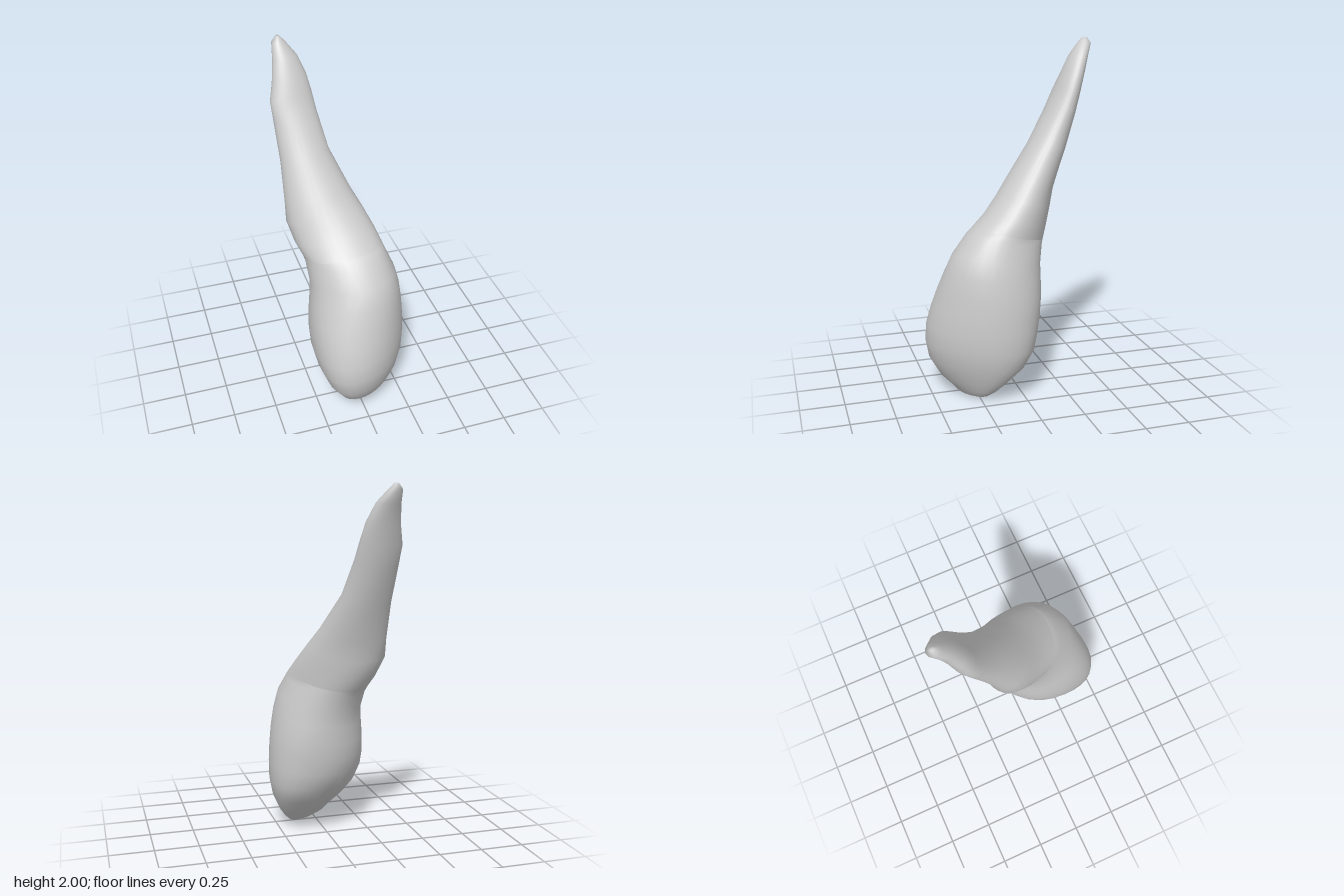
import * as THREE from 'three';

// Horizontal slices: [y, xMin, xMax, zMin, zMax, skew]
const slices = [
  [0, 0.06, 0.1, 0.26, 0.30, -0.5],
  [0.02, -0.02, 0.17, 0.2, 0.355, -0.6],
  [0.05, -0.09, 0.2, 0.16, 0.39, -0.6],
  [0.1, -0.13, 0.235, 0.1, 0.44, -0.52],
  [0.2, -0.2, 0.285, -0.01, 0.5, -0.42],
  [0.3, -0.235, 0.307, -0.07, 0.52, -0.34],
  [0.4, -0.25, 0.309, -0.09, 0.515, -0.28],
  [0.5, -0.252, 0.305, -0.11, 0.49, -0.21],
  [0.6, -0.25, 0.297, -0.125, 0.46, -0.13],
  [0.7, -0.235, 0.28, -0.13, 0.425, -0.02],
  [0.8, -0.225, 0.26, -0.14, 0.39, 0.1],
  [0.9, -0.245, 0.215, -0.18, 0.33, 0.25],
  [1.0, -0.3, 0.18, -0.23, 0.205, 0.32],
  [1.1, -0.31, 0.135, -0.25, 0.11, 0.28],
  [1.2, -0.3, 0.08, -0.265, 0.03, 0.17],
  [1.4, -0.295, -0.01, -0.35, -0.12, 0.06],
  [1.6, -0.305, -0.05, -0.41, -0.24, -0.06],
  [1.7, -0.31, -0.065, -0.435, -0.29, -0.1],
  [1.8, -0.28, -0.085, -0.46, -0.335, -0.1],
  [1.9, -0.265, -0.125, -0.49, -0.385, -0.1],
  [1.97, -0.255, -0.18, -0.52, -0.44, 0],
  [2.0, -0.23, -0.21, -0.5, -0.47, 0],
];
const SEGMENTS = 30;
const NECK = 0.93;

// Slanted line where crown and root meet
const neckHeight = (t) => 0.92 + 0.045 * Math.sin(t) + 0.035 * Math.cos(t);

// Surface point at angle t and height y: a skewed ellipse filling the slice
function surfacePoint(t, y) {
  let i = 0;
  while (i < slices.length - 2 && slices[i + 1][0] < y) i++;
  const k = THREE.MathUtils.clamp((y - slices[i][0]) / (slices[i + 1][0] - slices[i][0]), 0, 1);
  const [, x0, x1, z0, z1, skew] = slices[i].map((v, j) => THREE.MathUtils.lerp(v, slices[i + 1][j], k));
  const c = Math.cos(t);
  const s = skew * c + Math.sqrt(1 - skew * skew) * Math.sin(t);
  // The back swells low on the crown and flattens along the root
  let swelling = 0;
  if (y < 0.75) swelling = 0.22 * Math.sin((Math.PI * y) / 0.75) ** 2;
  else if (y > 0.9 && y < 1.9) swelling = -0.11 * Math.sin(Math.PI * (y - 0.9));
  const r = 1 + swelling * Math.max(0, Math.cos(t - 1.3 * Math.PI)) ** 4;
  return [(x0 + x1) / 2 + ((x1 - x0) / 2) * c * r, y, (z0 + z1) / 2 + ((z1 - z0) / 2) * s * r];
}

// Skin rows of points; heightAt(row, t) bends each row towards the neck line
function skin(name, rows, heightAt, cap) {
  const positions = [];
  const index = [];
  rows.forEach((row) => {
    for (let j = 0; j < SEGMENTS; j++) {
      const t = (j / SEGMENTS) * Math.PI * 2;
      positions.push(...surfacePoint(t, heightAt(row, t)));
    }
  });
  for (let i = 0; i < rows.length - 1; i++) {
    for (let j = 0; j < SEGMENTS; j++) {
      const a = i * SEGMENTS + j;
      const b = i * SEGMENTS + ((j + 1) % SEGMENTS);
      index.push(a, a + SEGMENTS, b, b, a + SEGMENTS, b + SEGMENTS);
    }
  }
  // Close the tip with a fan
  const tip = positions.length / 3;
  const first = cap === 'bottom' ? 0 : (rows.length - 1) * SEGMENTS;
  const [, x0, x1, z0, z1] = slices[cap === 'bottom' ? 0 : slices.length - 1];
  positions.push((x0 + x1) / 2, cap === 'bottom' ? 0 : 2, (z0 + z1) / 2);
  for (let j = 0; j < SEGMENTS; j++) {
    const a = first + j;
    const b = first + ((j + 1) % SEGMENTS);
    if (cap === 'bottom') index.push(tip, a, b);
    else index.push(tip, b, a);
  }
  const geometry = new THREE.BufferGeometry();
  geometry.setAttribute('position', new THREE.Float32BufferAttribute(positions, 3));
  geometry.setIndex(index);
  geometry.computeVertexNormals();
  const mesh = new THREE.Mesh(geometry, new THREE.MeshStandardMaterial({ color: 0xcccccc }));
  mesh.name = name;
  return mesh;
}

export function createModel() {
  const group = new THREE.Group();
  group.name = 'tooth';
  const heights = slices.map((s) => s[0]);

  // Crown: broad lower body, from the biting edge up to the neck
  const crownRows = [...heights.filter((y) => y < NECK - 0.02), NECK];
  group.add(skin('crown', crownRows, (y, t) => (y * neckHeight(t)) / NECK, 'bottom'));

  // Root: long taper leaning back to the tip
  const rootRows = [NECK, ...heights.filter((y) => y > NECK + 0.02)];
  group.add(skin('root', rootRows, (y, t) => 2 - ((2 - y) * (2 - neckHeight(t))) / (2 - NECK), 'top'));
  return group;
}
